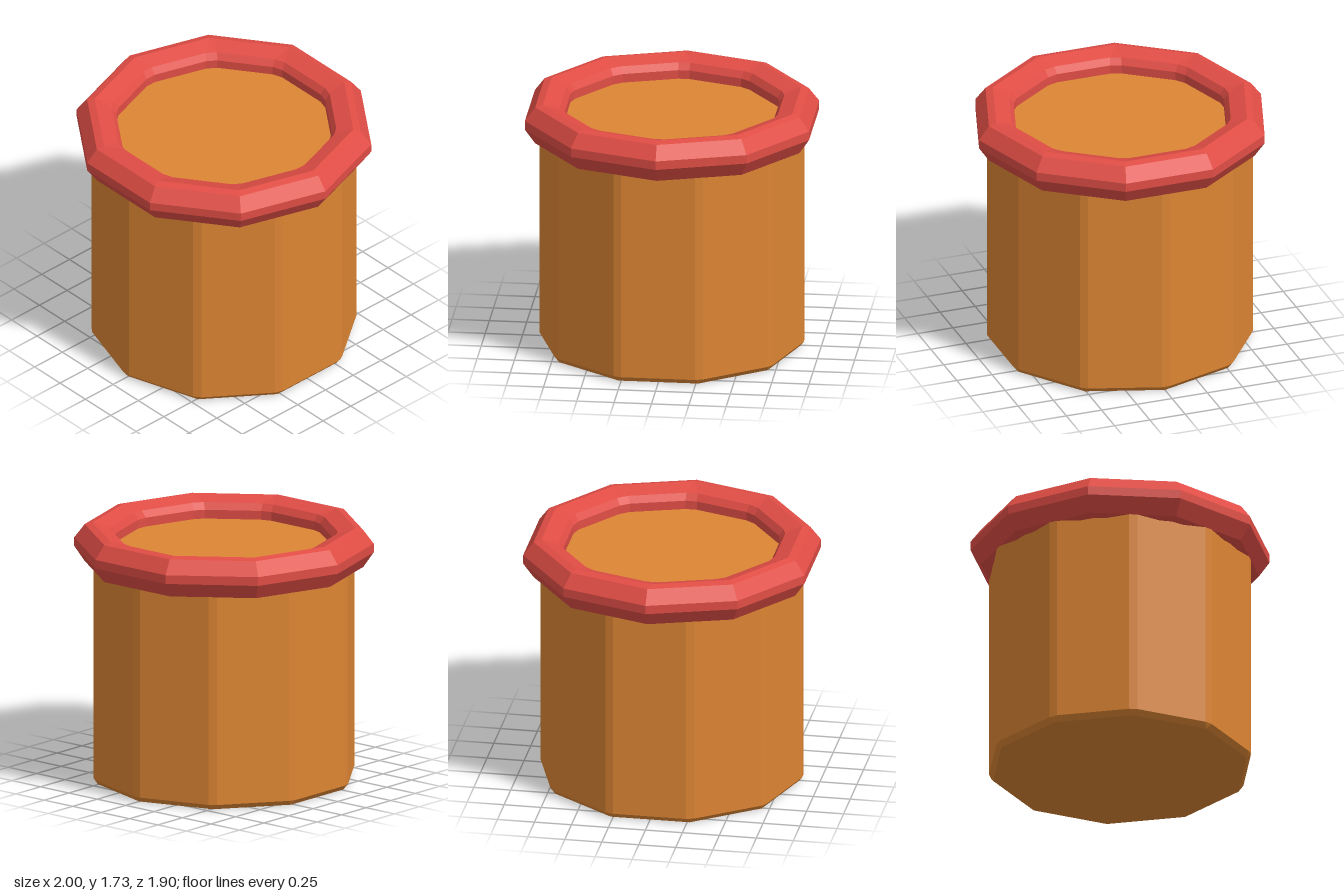
import * as THREE from 'three';

const SIDES = 10;

// Ten-sided ring at height y; each corner is cut back by `cut` along both sides.
function ring([r, y, cut = 0], turn) {
  const corner = (i) => {
    const a = turn + (i * 2 * Math.PI) / SIDES;
    return new THREE.Vector3(r * Math.cos(a), y, r * Math.sin(a));
  };
  const points = [];
  for (let i = 0; i < SIDES; i++) {
    const c = corner(i);
    for (const n of [corner(i - 1), corner(i + 1)]) {
      points.push(c.clone().add(n.sub(c).setLength(cut)));
    }
  }
  return points;
}

// Skin a list of [radius, y, cut] rings, running up the outside.
function loft(profile, turn, closed) {
  const rings = profile.map((p) => ring(p, turn));
  const position = [];
  const tri = new THREE.Triangle();
  const add = (a, b, c) => {
    if (tri.set(a, b, c).getArea() > 1e-7) {
      for (const p of [a, b, c]) position.push(p.x, p.y, p.z);
    }
  };
  const bands = closed ? rings.length : rings.length - 1;
  for (let k = 0; k < bands; k++) {
    const low = rings[k];
    const high = rings[(k + 1) % rings.length];
    for (let i = 0; i < low.length; i++) {
      const j = (i + 1) % low.length;
      add(low[i], high[i], high[j]);
      add(low[i], high[j], low[j]);
    }
  }
  const geometry = new THREE.BufferGeometry();
  geometry.setAttribute('position', new THREE.Float32BufferAttribute(position, 3));
  geometry.computeVertexNormals();
  return geometry;
}

function part(name, geometry, color) {
  const mesh = new THREE.Mesh(geometry, new THREE.MeshStandardMaterial({ color, flatShading: true }));
  mesh.name = name;
  return mesh;
}

export function createModel() {
  const group = new THREE.Group();
  group.name = 'pot';

  // Solid body with bevelled edges; its flat top shows inside the rim
  const body = [
    [0, 0], [0.862, 0], [0.894, 0.035, 0.03],
    [0.894, 1.56, 0.03], [0.862, 1.59], [0, 1.59],
  ];
  group.add(part('body', loft(body, Math.PI / SIDES, false), 0xdd8533));

  // Rim: bevelled pentagon section swept round, with the inner corners cut
  const rim = [
    [1, 1.565], [1, 1.625], [0.93, 1.717], [0.878, 1.73],
    [0.767, 1.695, 0.04], [0.736, 1.65, 0.04],
    [0.736, 1.53, 0.04], [0.767, 1.485, 0.04],
    [0.878, 1.45], [0.93, 1.463],
  ];
  group.add(part('rim', loft(rim, 0, true), 0xe04d45));

  return group;
}
